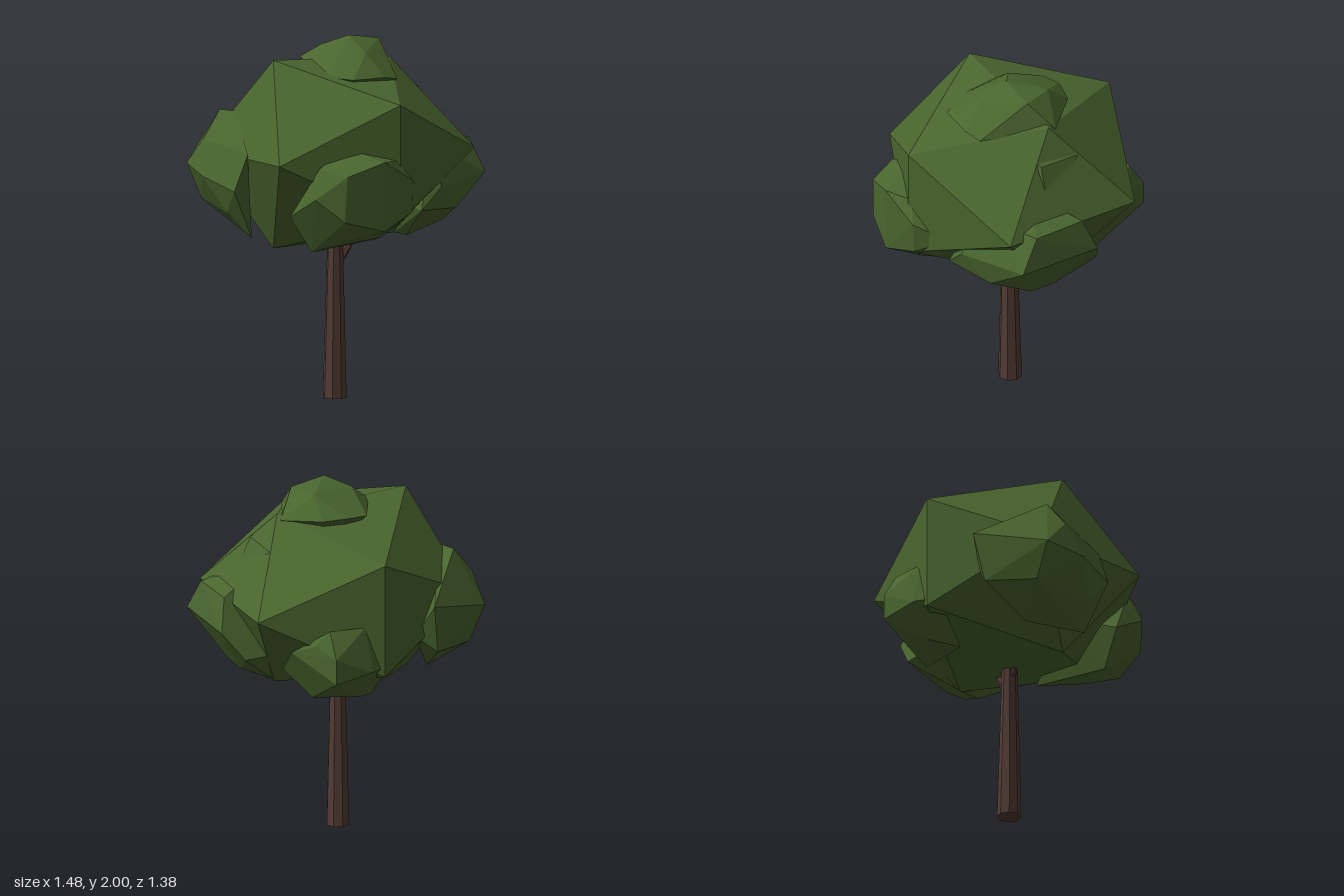
import * as THREE from 'three';
import { ConvexGeometry } from 'three/addons/geometries/ConvexGeometry.js';

const foliage = new THREE.MeshStandardMaterial({ color: 0x4a662f, flatShading: true });
const bark = new THREE.MeshStandardMaterial({ color: 0x543c35, flatShading: true });

// Faceted leaf clump: the hull around a few corner points
function clump(name, corners) {
  const mesh = new THREE.Mesh(new ConvexGeometry(corners.map((c) => new THREE.Vector3(...c))), foliage);
  mesh.name = name;
  return mesh;
}

// Tapered branch between two points
function branch(name, from, to, r0, r1, sides) {
  const a = new THREE.Vector3(...from), b = new THREE.Vector3(...to);
  const dir = b.clone().sub(a);
  const mesh = new THREE.Mesh(new THREE.CylinderGeometry(r1, r0, dir.length(), sides), bark);
  mesh.name = name;
  mesh.position.copy(a).add(b).multiplyScalar(0.5);
  mesh.quaternion.setFromUnitVectors(new THREE.Vector3(0, 1, 0), dir.normalize());
  return mesh;
}

// Large faceted crown, flattened, with a few corners pulled in
function makeCrown() {
  const geo = new THREE.IcosahedronGeometry(0.761, 0);
  geo.scale(1, 0.8, 1);
  const p = geo.attributes.position;
  for (let i = 0; i < p.count; i++) {
    const x = p.getX(i), y = p.getY(i), z = p.getZ(i);
    if (x < -0.5) p.setXYZ(i, x * 0.945, y, z * 0.95);
    if (x > 0.3 && y > 0.4) p.setXYZ(i, 0.37, 0.47, -0.02);
    if (x > 0.3 && y < -0.4) p.setXYZ(i, 0.38, -0.5, 0);
  }
  geo.computeVertexNormals();
  const crown = new THREE.Mesh(geo, foliage);
  crown.name = 'crown';
  crown.position.set(0, 1.375, -0.015);
  return crown;
}

export function createModel() {
  const tree = new THREE.Group();
  tree.name = 'tree';

  // Trunk and forked branches
  tree.add(branch('trunk', [0.004, 0, -0.02], [0.004, 1.0, -0.015], 0.066, 0.04, 8));
  tree.add(branch('leftBranch', [0.02, 0.74, -0.01], [0.17, 0.98, 0.02], 0.022, 0.016, 6));
  tree.add(branch('rightBranch', [-0.01, 0.82, -0.02], [-0.1, 0.96, -0.04], 0.02, 0.014, 6));

  tree.add(makeCrown());

  // Cap of leaves on the top
  tree.add(clump('topClump', [
    [0.06, 2, 0.04], [0.2, 1.96, -0.14], [0.26, 1.965, 0.03], [0.06, 1.92, 0.2], [-0.06, 1.95, -0.05],
    [-0.17, 1.86, -0.03], [-0.19, 1.81, 0.2], [-0.1, 1.8, 0.32], [0.1, 1.8, 0.33], [0.2, 1.78, 0.3],
    [0.37, 1.82, -0.08], [0.2, 1.85, -0.27], [0.06, 1.86, -0.3], [-0.06, 1.85, -0.27], [0.05, 1.6, 0],
  ]));

  // Slight bulge below the cap
  tree.add(clump('shoulderClump', [
    [0.48, 1.69, 0.08], [0.47, 1.68, -0.16], [0.38, 1.74, 0.12], [0.58, 1.46, 0.1],
    [0.46, 1.55, 0.18], [0.5, 1.5, -0.1], [0.3, 1.5, 0],
  ]));

  // Clumps around the lower crown
  tree.add(clump('frontClump', [
    [-0.14, 1.4, 0.69], [-0.14, 1.02, 0.69], [-0.35, 1.33, 0.64], [-0.36, 1.08, 0.63], [-0.48, 1.2, 0.52],
    [-0.42, 1.36, 0.47], [-0.23, 1.46, 0.45], [0, 1.39, 0.61], [0.07, 1.28, 0.65], [0.07, 1.1, 0.64],
    [0.21, 1.2, 0.5], [-0.38, 0.88, 0.33], [-0.05, 0.96, 0.52], [0.07, 0.9, 0.26], [-0.5, 1.08, 0.3],
    [-0.2, 1.2, 0.2],
  ]));
  tree.add(clump('leftClump', [
    [0.735, 1.23, 0.36], [0.735, 1.23, -0.12], [0.7, 1.41, 0.25], [0.69, 1.41, -0.05], [0.34, 1.43, 0.42],
    [0.35, 1.2, 0.51], [0.5, 1.06, 0.42], [0.38, 0.88, 0.12], [0.38, 0.88, 0], [0.55, 0.95, 0.05],
    [0.56, 0.96, 0.2], [0.62, 1.08, -0.18], [0.35, 1.1, -0.2], [0.4, 1.5, 0.12], [0.22, 1.08, 0.51],
  ]));
  tree.add(clump('rightClump', [
    [-0.74, 1.26, -0.2], [-0.69, 1.2, 0.04], [-0.68, 1.45, -0.28], [-0.69, 1.3, -0.43], [-0.56, 1.6, -0.3],
    [-0.52, 1.6, -0.2], [-0.31, 1.4, -0.62], [-0.35, 1.12, -0.57], [-0.66, 1.07, -0.08], [-0.6, 1.1, -0.42],
    [-0.55, 0.93, 0], [-0.4, 0.95, -0.3], [-0.61, 1.4, 0.05], [-0.25, 1.2, -0.5],
  ]));
  tree.add(clump('backClump', [
    [0.3, 1.2, -0.69], [0.3, 1.06, -0.69], [0.08, 1.1, -0.68], [0.37, 1.25, -0.56], [0.3, 1.34, -0.6],
    [0.1, 1.34, -0.62], [0.42, 1.02, -0.23], [0.3, 0.88, -0.36], [-0.02, 0.88, -0.42],
    [0.1, 0.92, -0.55], [-0.05, 1.1, -0.62], [0.45, 1.18, -0.42],
  ]));
  return tree;
}
